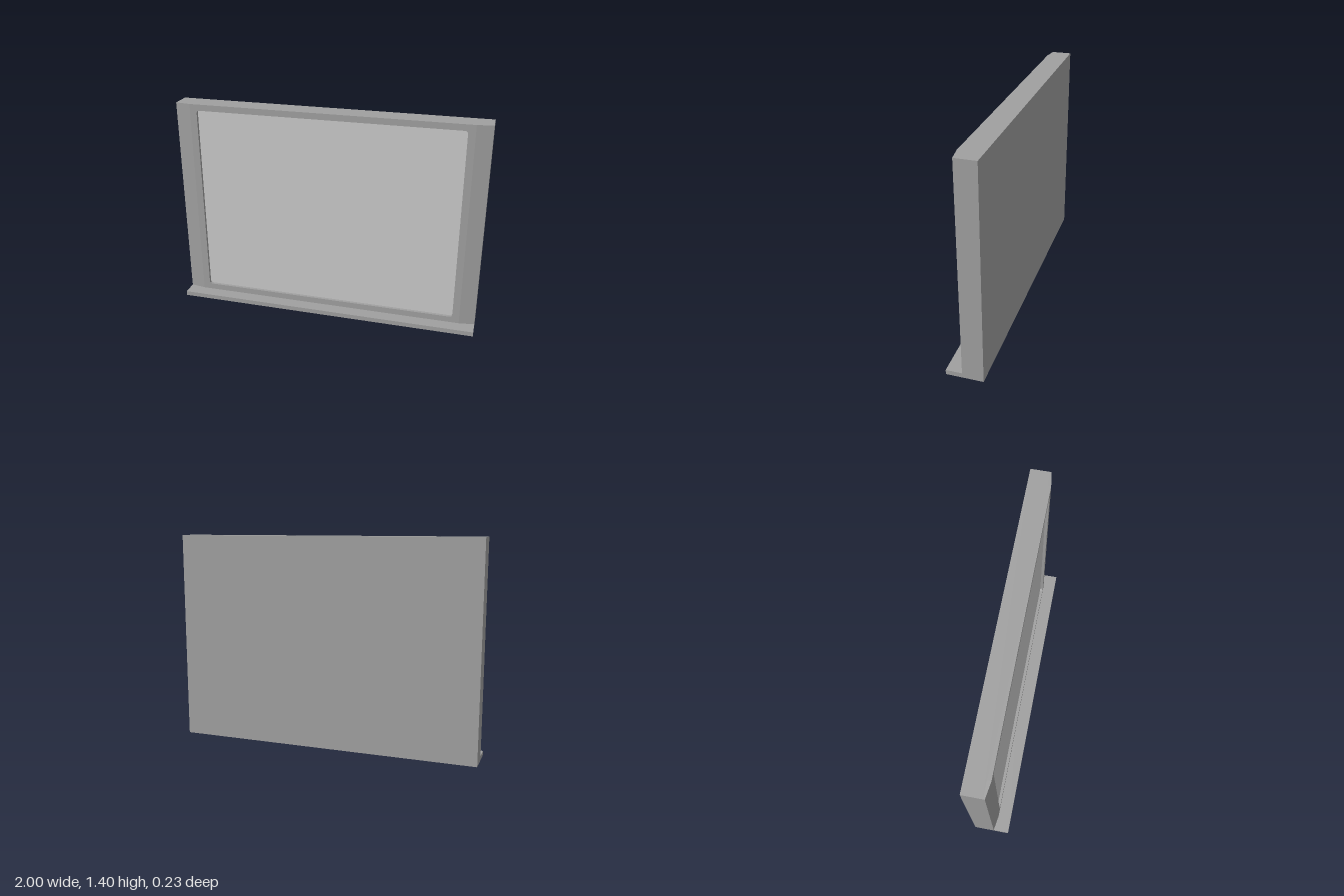
import * as THREE from 'three';

const W = 1, TOP = 1.4, BACK = -0.115, SEAT = 0.005, FRONT = 0.03, BEND = 0.9;

// Rounded rectangle, usable as a shape or a hole
function roundedRect(path, x, y0, y1, r) {
  path.moveTo(-x + r, y0);
  path.lineTo(x - r, y0);
  path.quadraticCurveTo(x, y0, x, y0 + r);
  path.lineTo(x, y1 - r);
  path.quadraticCurveTo(x, y1, x - r, y1);
  path.lineTo(-x + r, y1);
  path.quadraticCurveTo(-x, y1, -x, y1 - r);
  path.lineTo(-x, y0 + r);
  path.quadraticCurveTo(-x, y0, -x + r, y0);
  return path;
}

export function createModel() {
  const group = new THREE.Group();
  const frameGrey = new THREE.MeshStandardMaterial({ color: 0xa0a0a0 });
  frameGrey.name = 'frameGrey';
  const boardGrey = new THREE.MeshStandardMaterial({ color: 0xcacaca });
  boardGrey.name = 'boardGrey';

  function add(name, geometry, material) {
    const mesh = new THREE.Mesh(geometry, material);
    mesh.name = name;
    group.add(mesh);
    return mesh;
  }
  function box(name, y0, y1, z0, z1) {
    const g = new THREE.BoxGeometry(2 * W, y1 - y0, z1 - z0);
    g.translate(0, (y0 + y1) / 2, (z0 + z1) / 2);
    return add(name, g, frameGrey);
  }

  // Solid backing and projecting ledge
  box('backPanel', 0.06, TOP, BACK, SEAT);
  box('ledge', 0.03, 0.06, BACK, 0.115);

  // Front frame around the board opening
  const face = new THREE.Shape([
    new THREE.Vector2(-BEND, 0.06), new THREE.Vector2(BEND, 0.06),
    new THREE.Vector2(BEND, TOP), new THREE.Vector2(-BEND, TOP),
  ]);
  face.holes.push(roundedRect(new THREE.Path(), 0.855, 0.1, 1.36, 0.02));
  const faceGeo = new THREE.ExtrudeGeometry(face, { depth: FRONT - SEAT, bevelEnabled: false, curveSegments: 5 });
  faceGeo.translate(0, 0, SEAT);
  add('frontFrame', faceGeo, frameGrey);

  // Outer frame edges, sloping back toward the sides
  for (const [name, s] of [['leftFrameEdge', 1], ['rightFrameEdge', -1]]) {
    const plan = new THREE.Shape([
      new THREE.Vector2(s * BEND, -SEAT), new THREE.Vector2(s * W, -SEAT),
      new THREE.Vector2(s * W, -0.015), new THREE.Vector2(s * BEND, -FRONT),
    ]);
    const g = new THREE.ExtrudeGeometry(plan, { depth: TOP - 0.06, bevelEnabled: false });
    g.rotateX(-Math.PI / 2);
    g.translate(0, 0.06, 0);
    add(name, g, frameGrey);
  }

  // Recessed board surface
  const board = roundedRect(new THREE.Shape(), 0.855, 0.1, 1.36, 0.02);
  const boardGeo = new THREE.ExtrudeGeometry(board, { depth: 0.006, bevelEnabled: false, curveSegments: 5 });
  boardGeo.translate(0, 0, SEAT);
  add('board', boardGeo, boardGrey);

  // Hipped underside tapering to a ridge
  const A = [-W, 0.03, 0.115], B = [W, 0.03, 0.115], C = [W, 0.03, BACK], D = [-W, 0.03, BACK];
  const E = [-0.89, 0, 0.055], F = [0.89, 0, 0.055];
  const under = new THREE.BufferGeometry();
  under.setAttribute('position', new THREE.Float32BufferAttribute(
    [A, E, F, A, F, B, B, F, C, C, F, E, C, E, D, D, E, A].flat(), 3));
  under.computeVertexNormals();
  add('underside', under, frameGrey);

  return group;
}
